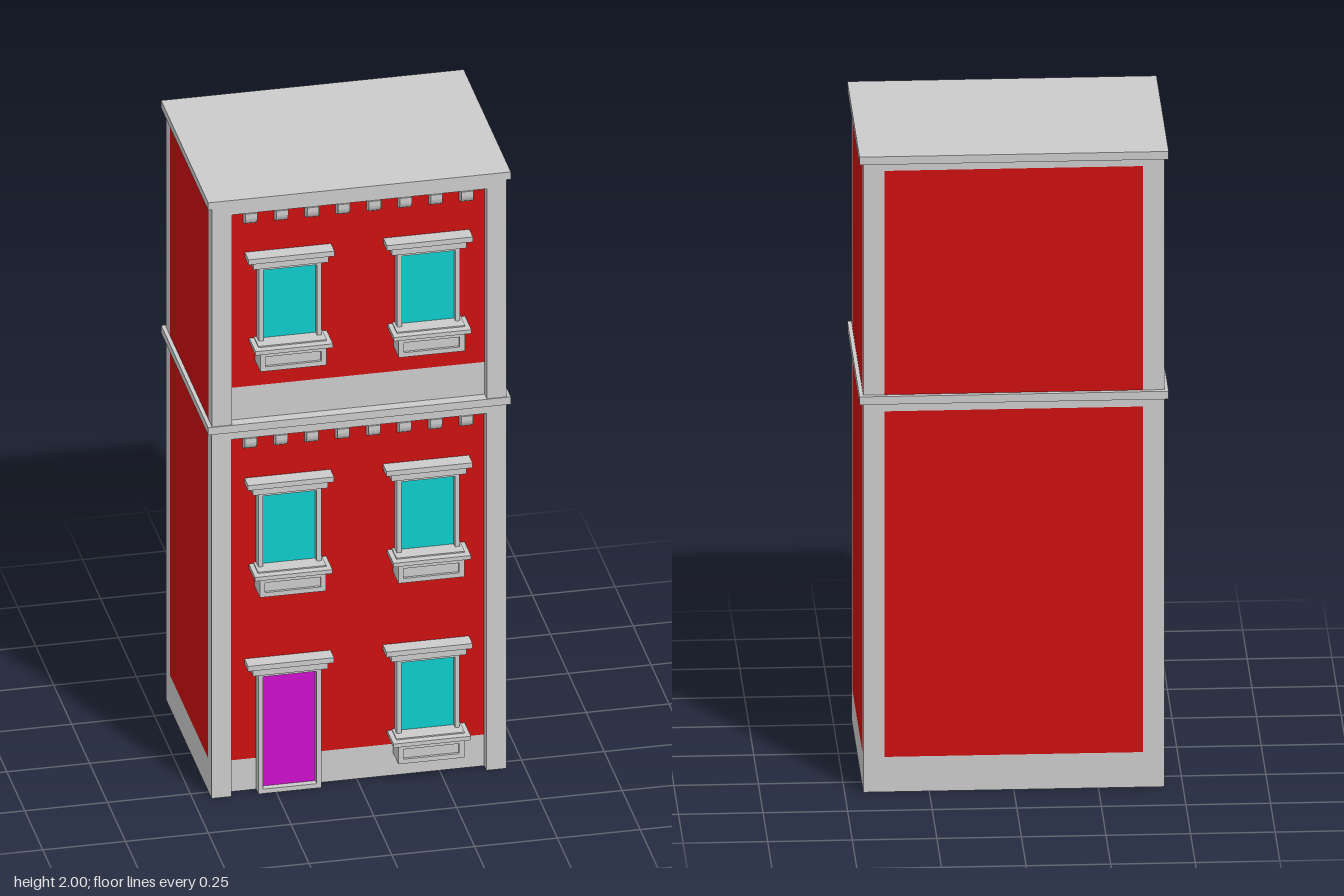
import * as THREE from 'three';

const mat = (color) => new THREE.MeshStandardMaterial({ color, side: THREE.DoubleSide });

export function createModel() {
  const model = new THREE.Group();
  model.name = 'townhouse';
  const grey = mat(0xcccccc), red = mat(0xcc0f0f), cyan = mat(0x10cccc), purple = mat(0xcc0fcc);
  const HALF_X = 0.445, BACK = -0.34, OPEN = 0.385, RECESS = 0.03;

  const group = (name, parent = model) => {
    const g = new THREE.Group();
    g.name = name;
    parent.add(g);
    return g;
  };
  const add = (parent, name, geo, material = grey) => {
    const m = new THREE.Mesh(geo, material);
    m.name = name;
    parent.add(m);
    return m;
  };
  // box given by its limits
  const box = (parent, name, x0, x1, y0, y1, z0, z1, material) =>
    add(parent, name, new THREE.BoxGeometry(x1 - x0, y1 - y0, z1 - z0), material)
      .position.set((x0 + x1) / 2, (y0 + y1) / 2, (z0 + z1) / 2);
  // upright sheet in the local xy plane
  const sheet = (parent, name, x0, x1, y0, y1, material) => {
    const m = add(parent, name, new THREE.PlaneGeometry(x1 - x0, y1 - y0), material);
    m.position.set((x0 + x1) / 2, (y0 + y1) / 2, 0);
    return m;
  };
  // frame strips around an opening; half = half width, edge = strip width
  const border = (g, half, edge, y0, p0, p1, y1) => {
    sheet(g, 'leftPilaster', half - edge, half, y0, y1);
    sheet(g, 'rightPilaster', -half, edge - half, y0, y1);
    sheet(g, 'frieze', edge - half, half - edge, p1, y1);
    if (p0 > y0) sheet(g, 'plinth', edge - half, half - edge, y0, p0);
  };
  const panelWall = (parent, name, half, edge, s) => {
    const g = group(name, parent);
    border(g, half, edge, s.y0, s.p0, s.p1, s.y1);
    sheet(g, 'panel', edge - half, half - edge, s.p0, s.p1, red);
    return g;
  };

  // rounded console bracket
  const profile = new THREE.Shape();
  profile.moveTo(0, 0);
  profile.lineTo(0.035, 0);
  profile.lineTo(0.035, -0.016);
  profile.quadraticCurveTo(0.032, -0.042, 0, -0.045);
  profile.closePath();
  const bracketGeo = new THREE.ExtrudeGeometry(profile, { depth: 0.036, bevelEnabled: false, curveSegments: 6 });
  bracketGeo.translate(0, 0, -0.018).rotateY(-Math.PI / 2);

  // head, jambs and pane shared by windows and the door; y = 0 at the top of the head
  const opening = (parent, name, x, y, wall, bottom, fill, fillName) => {
    const g = group(name, parent);
    g.position.set(x, y, wall);
    box(g, 'headCap', -0.13, 0.13, -0.017, 0, 0, 0.049);
    box(g, 'headMoulding', -0.113, 0.113, -0.04, -0.017, 0, 0.04);
    for (const s of [-1, 1])
      box(g, 'jamb', Math.min(s * 0.081, s * 0.095), Math.max(s * 0.081, s * 0.095), bottom, -0.04, 0, 0.032);
    box(g, 'topRail', -0.081, 0.081, -0.049, -0.04, 0, 0.032);
    box(g, fillName, -0.081, 0.081, bottom, -0.049, 0, 0.012, fill);
    return g;
  };
  const addWindow = (parent, x, y, wall) => {
    const g = opening(parent, 'window', x, y, wall, -0.289, cyan, 'glass');
    box(g, 'sill', -0.117, 0.117, -0.302, -0.289, 0, 0.087);
    box(g, 'sillStep', -0.103, 0.103, -0.289, -0.285, 0, 0.064);
    // apron below the sill with a sunken panel
    const s = new THREE.Shape([[-0.1, -0.364], [0.1, -0.364], [0.1, -0.302], [-0.1, -0.302]]
      .map((p) => new THREE.Vector2(...p)));
    s.holes.push(new THREE.Path([[-0.084, -0.349], [-0.084, -0.316], [0.084, -0.316], [0.084, -0.349]]
      .map((p) => new THREE.Vector2(...p))));
    add(g, 'apronFrame', new THREE.ExtrudeGeometry(s, { depth: 0.076, bevelEnabled: false }));
    box(g, 'apronPanel', -0.084, 0.084, -0.349, -0.316, 0, 0.068);
  };

  const storeys = [
    { name: 'lowerStorey', y0: 0, p0: 0.11, p1: 1.195, y1: 1.222, band: 0.105, front: 0.292 },
    { name: 'upperStorey', y0: 1.245, p0: 1.245, p1: 1.95, y1: 1.975, band: 1.355, front: 0.298 },
  ];
  for (const s of storeys) {
    const g = group(s.name);
    const wall = s.front - RECESS;

    // side and back walls
    const halfZ = (s.front - BACK) / 2, midZ = (s.front + BACK) / 2;
    for (const side of [-1, 1]) {
      const w = panelWall(g, side > 0 ? 'leftWall' : 'rightWall', halfZ, 0.05, s);
      w.position.set(side * HALF_X, 0, midZ);
      w.rotation.y = side * Math.PI / 2;
    }
    const back = panelWall(g, 'backWall', HALF_X, 0.063, s);
    back.position.z = BACK;
    back.rotation.y = Math.PI;

    // front: pilasters and frieze forward of a recessed wall
    const front = group('frontFrame', g);
    front.position.z = s.front;
    border(front, HALF_X, HALF_X - OPEN, s.y0, s.y0, s.p1, s.y1);
    for (const side of [-1, 1]) {
      const r = sheet(front, 'pilasterReturn', -RECESS / 2, RECESS / 2, s.y0, s.p1);
      r.position.set(side * OPEN, (s.y0 + s.p1) / 2, -RECESS / 2);
      r.rotation.y = -side * Math.PI / 2;
    }
    const soffit = sheet(front, 'friezeSoffit', -OPEN, OPEN, 0, RECESS);
    soffit.position.set(0, s.p1, -RECESS / 2);
    soffit.rotation.x = Math.PI / 2;
    sheet(g, 'frontWall', -OPEN, OPEN, s.band, s.p1, red).position.z = wall;
    sheet(g, 'frontBaseBand', -OPEN, OPEN, s.y0, s.band).position.z = wall;

    // row of brackets under the frieze
    for (let i = 0; i < 8; i++)
      add(g, 'bracket', bracketGeo).position.set(-0.327 + i * 0.0933, s.p1, wall);

    // cornice slab
    box(g, 'cornice', -0.457, 0.457, s.y1, s.y1 + 0.025, -0.355, 0.301);
  }

  // windows and door
  const [lower, upper] = model.children;
  const lowWall = storeys[0].front - RECESS, highWall = storeys[1].front - RECESS;
  for (const x of [-0.209, 0.209]) {
    addWindow(upper, x, 1.804, highWall);
    addWindow(lower, x, 1.045, lowWall);
  }
  addWindow(lower, 0.209, 0.44, lowWall);
  const door = opening(lower, 'door', -0.209, 0.44, lowWall, -0.44, purple, 'doorLeaf');
  box(door, 'threshold', -0.081, 0.081, -0.44, -0.425, 0, 0.032);
  return model;
}
